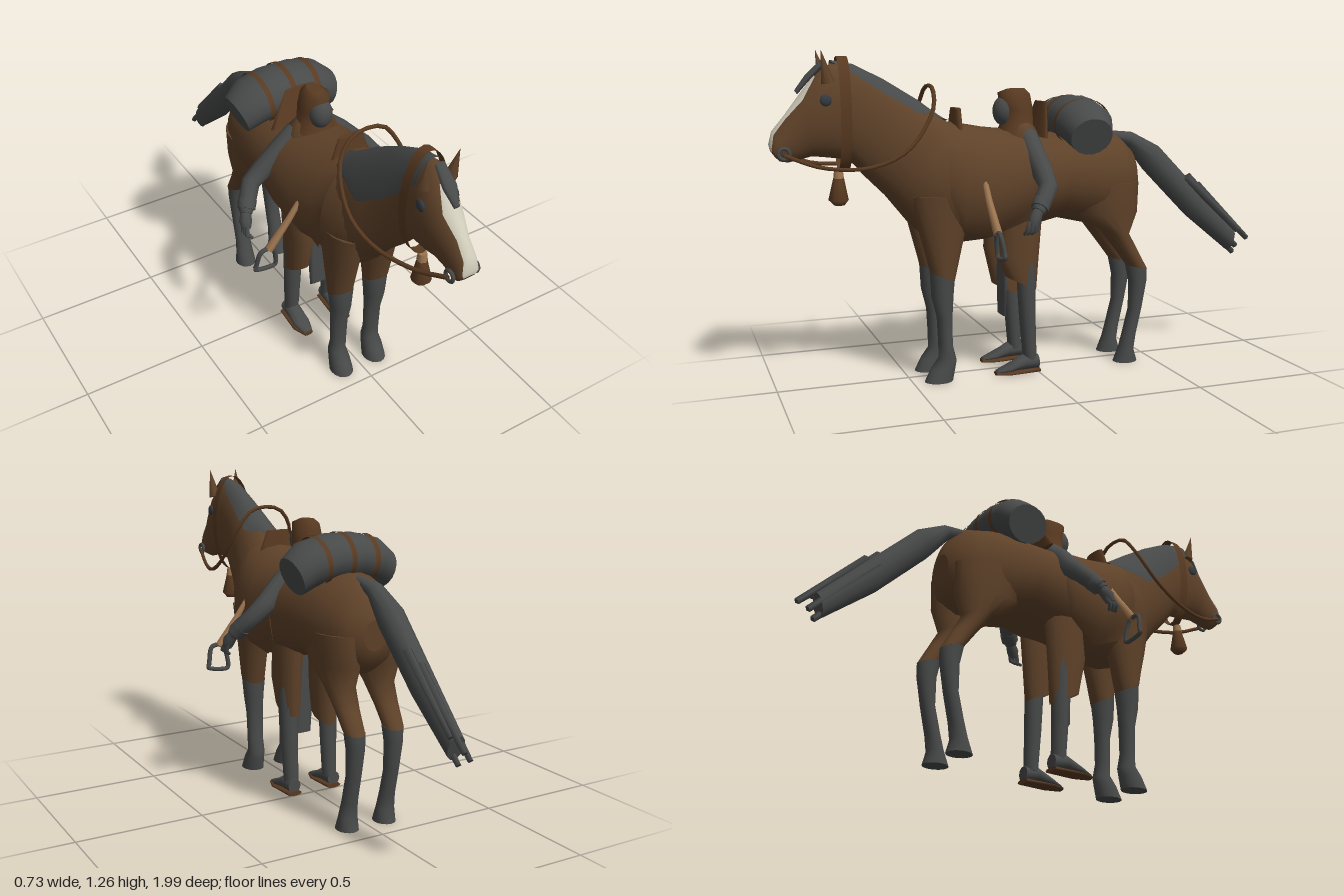
import * as THREE from 'three';

const mat = (name, color) => new THREE.MeshStandardMaterial({ name, color, side: THREE.DoubleSide });
const V = (x, y, z) => new THREE.Vector3(x, y, z);

// Surface over a series of point rings, optionally closed and capped
function skin(rings, closed, caps) {
  const n = rings[0].length, m = closed ? n : n - 1, pos = [], idx = [];
  rings.forEach(r => r.forEach(p => pos.push(p.x, p.y, p.z)));
  for (let i = 0; i < rings.length - 1; i++) for (let j = 0; j < m; j++) {
    const a = i * n + j, b = i * n + (j + 1) % n;
    idx.push(a, b, a + n, b, b + n, a + n);
  }
  if (caps) [0, rings.length - 1].forEach((i, end) => {
    const base = pos.length / 3, c = V(0, 0, 0);
    rings[i].forEach(p => { c.addScaledVector(p, 1 / n); pos.push(p.x, p.y, p.z); });
    pos.push(c.x, c.y, c.z);
    for (let j = 0; j < n; j++) {
      const a = base + j, b = base + (j + 1) % n;
      idx.push(base + n, ...(end ? [a, b] : [b, a]));
    }
  });
  const g = new THREE.BufferGeometry();
  g.setAttribute('position', new THREE.Float32BufferAttribute(pos, 3));
  g.setIndex(idx);
  g.computeVertexNormals();
  return g;
}

// Elliptic ring from row [zA, yA, zB, yB, halfWidth]; grow pushes it outwards
function ring([za, ya, zb, yb, w], x, n, grow = 0, mid = Math.PI / 2, span = Math.PI) {
  const d = V(0, ya - yb, za - zb), k = 0.5 + grow / d.length(), full = span === Math.PI;
  return Array.from({ length: n }, (_, j) => {
    const t = full ? j / n * 2 * Math.PI : mid - span + 2 * span * j / (n - 1);
    return V(x + Math.cos(t) * (w + grow), (ya + yb) / 2, (za + zb) / 2).addScaledVector(d, Math.sin(t) * k);
  });
}
const loft = (rows, x = 0, n = 16, caps = true) => skin(rows.map(r => ring(r, x, n)), true, caps);
// Thin covering laid over lofted rows; spans gives the half angle for each row
const patch = (rows, spans, grow, mid) => skin(rows.map((r, i) => ring(r, 0, 17, grow, mid, spans[i])), false, false);

// Round limb through [x, y, z, radius] points
function limb(pts, n = 10) {
  const p = pts.map(q => V(q[0], q[1], q[2]));
  return skin(p.map((c, i) => {
    const t = p[Math.min(i + 1, p.length - 1)].clone().sub(p[Math.max(i - 1, 0)]).normalize();
    const ref = Math.abs(t.z) > 0.8 ? V(1, 0, 0) : V(0, 0, 1);
    const u = ref.cross(t).normalize(), v = t.clone().cross(u);
    return Array.from({ length: n }, (_, j) => {
      const a = j / n * 2 * Math.PI;
      return c.clone().addScaledVector(u, Math.cos(a) * pts[i][3]).addScaledVector(v, Math.sin(a) * pts[i][3]);
    });
  }), true, true);
}

export function createModel() {
  const root = new THREE.Group();
  const coat = mat('brown coat', 0x5f4229), grey = mat('dark grey', 0x484949), leather = mat('leather', 0x593a21);
  const tan = mat('tan strap', 0x9c7550), white = mat('blaze white', 0xcfcbb9), eyeMat = mat('eye slate', 0x353c42);
  const add = (name, geo, m) => {
    const o = new THREE.Mesh(geo, m);
    o.name = name;
    root.add(o);
    return o;
  };
  const tube = (pts, r, closed = false) =>
    new THREE.TubeGeometry(new THREE.CatmullRomCurve3(pts.map(p => V(...p)), closed), 40, r, 6, closed);

  // Horse trunk, neck and head
  const trunk = [
    [-.445, .80, -.435, .68, .05], [-.42, .87, -.42, .62, .11], [-.36, .925, -.36, .58, .15], [-.25, .95, -.25, .565, .18],
    [-.1, .94, -.1, .60, .188], [.05, .94, .05, .565, .188], [.2, .955, .2, .53, .183], [.33, .98, .33, .52, .165],
    [.43, .98, .43, .55, .14], [.5, .95, .5, .62, .10], [.55, .9, .55, .7, .05]];
  add('horseBody', loft(trunk, 0, 24), coat);
  const neck = [
    [.2, .95, .42, .54, .13], [.33, .985, .50, .62, .135], [.45, 1.06, .58, .72, .10], [.58, 1.14, .66, .80, .075],
    [.69, 1.195, .71, .86, .065], [.77, 1.21, .76, .865, .07], [.83, 1.165, .80, .87, .072], [.88, 1.10, .845, .875, .06],
    [.94, 1.02, .885, .865, .046], [.985, .965, .93, .855, .042], [.996, .92, .96, .86, .038], [.992, .90, .975, .875, .025]];
  add('neckAndHead', loft(neck, 0, 24), coat);
  add('blaze', patch(neck.slice(6), [.3, .65, .5, .6, .9, 1], .004), white);
  add('mane', patch(neck.slice(1, 6), [.25, 1.05, 1.1, 1.0, .6], .012, Math.PI / 2 + .35), grey);
  add('forelock', loft([[.80, 1.225, .79, 1.20, .02], [.86, 1.17, .845, 1.15, .028], [.90, 1.115, .89, 1.10, .012]], 0, 8), grey);

  // Tail with loose strands
  add('tail', loft([[-.93, .5, -.90, .41, .035], [-.75, .68, -.70, .57, .045], [-.56, .87, -.50, .77, .05],
    [-.44, .93, -.42, .87, .035], [-.32, .94, -.35, .90, .02]], 0, 10), grey);
  [[.02, .46, -.985], [-.025, .42, -.96], [0, .40, -.93], [.035, .50, -.93]].forEach(([x, y, z]) =>
    add('tailStrand', limb([[x, y + .24, z + .25, .02], [x, y, z, .012]], 4), grey));

  // Leg profiles: front point, back point and half width, from top to hoof
  const foreTop = [[.50, .72, .25, .72, .07], [.47, .58, .29, .58, .06], [.43, .43, .335, .39, .05]];
  const foreLow = [foreTop[2], [.425, .33, .34, .33, .042], [.405, .25, .345, .25, .036], [.40, .15, .345, .14, .034],
    [.40, .09, .33, .08, .036], [.43, .05, .335, .05, .041], [.455, 0, .345, 0, .045]];
  const hindTop = [[-.13, .74, -.43, .74, .085], [-.16, .62, -.425, .62, .08], [-.27, .55, -.39, .53, .06],
    [-.34, .46, -.43, .46, .046], [-.385, .40, -.475, .38, .04]];
  const hindLow = [hindTop[4], [-.40, .33, -.475, .33, .036], [-.40, .22, -.455, .22, .031], [-.375, .12, -.43, .11, .032],
    [-.36, .06, -.42, .05, .038], [-.335, 0, -.435, 0, .043]];

  for (const s of [1, -1]) {
    add('foreLegUpper', loft(foreTop, s * .08), coat);
    add('foreLegLower', loft(foreLow, s * .078), grey);
    add('hindLegUpper', loft(hindTop, s * .085), coat);
    add('hindLegLower', loft(hindLow, s * .083), grey);

    // Ears and eyes
    const ear = add('ear', new THREE.ConeGeometry(.025, .12, 6), coat);
    ear.position.set(s * .058, 1.20, .80);
    ear.rotation.set(.2, 0, s * -.08);
    const eye = add('eye', new THREE.SphereGeometry(.022, 10, 8), eyeMat);
    eye.scale.x = .4;
    eye.position.set(s * .068, 1.08, .80);

    // Bit ring and stirrup
    const bit = add('bitRing', new THREE.TorusGeometry(.02, .007, 6, 14), grey);
    bit.rotation.y = Math.PI / 2;
    bit.position.set(s * .05, .89, .95);
    add('stirrupStrap', limb([[s * .13, .84, .24, .009], [s * .22, .71, .24, .013], [s * .305, .6, .235, .017]], 6), tan);
    add('stirrup', tube([[.29, .60, .235], [.335, .60, .235], [.355, .53, .225], [.36, .52, .225],
      [.275, .508, .225], [.27, .52, .225]].map(p => [s * p[0], p[1], p[2]]), .009, true), grey);

    // Rider arm, hand and fingers
    add('riderArm', limb([[s * .06, .93, .03, .04], [s * .13, .87, .03, .042], [s * .20, .80, .02, .041], [s * .255, .755, .02, .036],
      [s * .295, .705, .06, .034], [s * .315, .675, .085, .024]]), grey);
    add('riderCuff', limb([[s * .29, .71, .055, .036], [s * .307, .685, .075, .034]]), grey);
    add('riderHand', limb([[s * .312, .68, .08, .02], [s * .325, .65, .10, .025], [s * .328, .625, .11, .018]], 8), grey);
    for (let i = 0; i < 3; i++)
      add('finger', limb([[s * .328, .64, .09 + i * .015, .01], [s * .338, .61, .10 + i * .016, .009],
        [s * .318, .595, .11 + i * .014, .006]], 6), grey);

    // Rider coat skirt, shin and foot
    const hem = s > 0 ? .33 : .27;
    add('coatSkirt', loft([[.15, .64, -.02, .64, .055], [.165, .48, -.005, .46, .052], [.13, hem + .06, .005, hem, .045]],
      s * .083, 14, false), coat);
    add('riderShin', loft([[.09, .45, .01, .45, .04], [.075, .22, .01, .22, .035], [.06, .05, .005, .05, .03]], s * .09, 12), grey);
    add('riderFoot', loft([[0, .07, 0, .012, .028], [.06, .075, .06, .012, .033], [.12, .04, .12, .01, .035],
      [.17, .02, .17, .01, .018]], s * .092, 10), grey);
    add('sole', loft([[-.003, .02, -.003, 0, .032], [.12, .016, .12, 0, .04], [.175, .016, .175, 0, .02]], s * .092, 10), leather);
  }

  // Neck strap with tassel, and reins
  add('headStrap', skin([.71, .75].map(z => ring([z, 1.235, z, .82, .085], 0, 28)), true, false), leather);
  add('tasselBinding', new THREE.CylinderGeometry(.016, .02, .03, 8), tan).position.set(0, .805, .75);
  add('tassel', loft([[.77, .79, .73, .79, .018], [.79, .71, .715, .71, .037], [.77, .69, .73, .69, .02]], 0, 10), leather);
  const reinHalf = [[.055, .885, .95], [.09, .84, .82], [.135, .84, .65], [.15, .90, .52], [.12, 1.04, .42], [.06, 1.115, .405]];
  add('reins', tube([...reinHalf, ...reinHalf.map(([x, y, z]) => [-x, y, z]).reverse()], .008), leather);

  // Saddle with flaps, pommel and cantle
  const flap = [[0, .94, 0, .57, .188], [.06, .94, .06, .56, .188], [.2, .955, .2, .53, .183], [.31, .975, .31, .52, .168],
    [.37, .98, .37, .53, .155]];
  add('saddleFlaps', patch(flap, [1.7, 2.3, 2.6, 2.3, 1.7], .012), coat);
  add('pommel', loft([[.315, 1.04, .285, 1.04, .05], [.325, .93, .28, .93, .09]], 0, 14), leather);
  add('cantle', loft([[-.04, 1.06, -.055, 1.06, .06], [0, .93, -.04, .92, .14]], 0, 14), leather);

  // Bedroll draped across the back, with straps
  const half = [[.225, 1.0, .172, .86, .085], [.16, 1.055, .125, .885, .11], [.06, 1.08, .05, .90, .112]];
  const roll = [...half.map(([a, b, c, d, w]) => [-a, b, -c, d, w]), ...half.slice().reverse()];
  const place = o => { o.rotation.y = Math.PI / 2; o.position.z = -.18; };
  place(add('bedroll', loft(roll, 0, 18), grey));
  for (const x of [-.11, 0, .11]) {
    const top = 1.08 - Math.max(0, Math.abs(x) - .06) * .25;
    const band = [x - .011, x + .011].map(z => ring([z, top, z * .85, top - .18, .112], 0, 24, .004));
    place(add('bedrollStrap', skin(band, true, false), leather));
  }

  // Rider torso, hood and face, and hanging tail of the coat
  add('riderTorso', loft([[.09, .98, 0, .98, .06], [.12, .94, -.03, .94, .10], [.13, .8, -.03, .8, .12], [.15, .6, -.02, .6, .12]]), coat);
  add('hood', loft([[.09, 1.11, .02, 1.11, .025], [.13, 1.095, 0, 1.09, .05], [.118, 1.03, -.01, 1.03, .06],
    [.115, .98, -.01, .97, .062], [.14, .93, -.03, .92, .095]]), leather);
  const face = add('riderFace', new THREE.SphereGeometry(.045, 14, 10), grey);
  face.scale.y = 1.3;
  face.position.set(0, 1.025, .105);
  add('coatTail', loft([[.125, .55, .10, .55, .04], [.128, .38, .105, .38, .06], [.125, .22, .11, .22, .05]], 0, 8), grey);

  return root;
}
